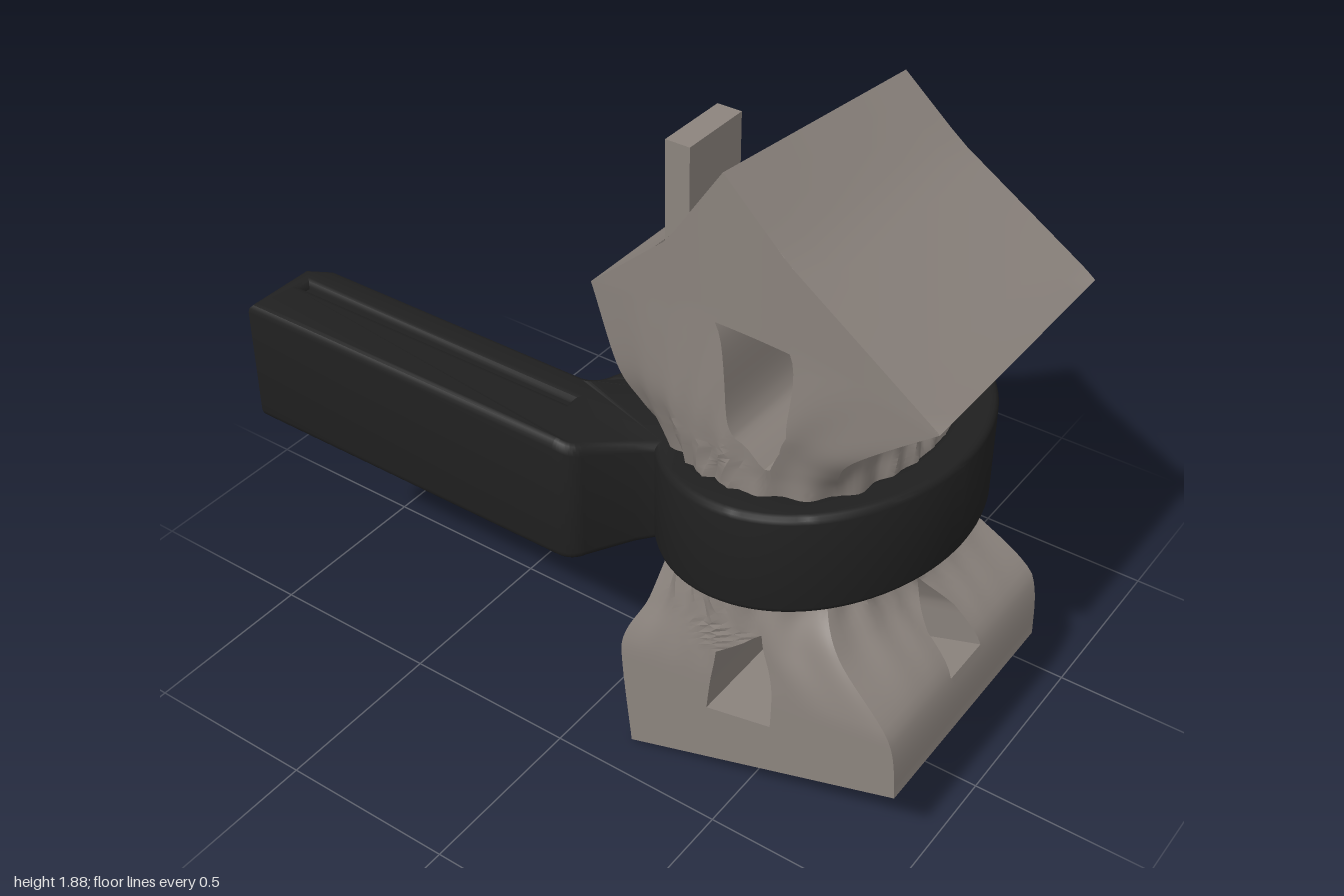
import * as THREE from 'three';
import { toCreasedNormals } from 'three/addons/utils/BufferGeometryUtils.js';

const clamp = THREE.MathUtils.clamp, lerp = THREE.MathUtils.lerp;

// House levels, bottom to eaves: left x, y, right x, y, front z, back z, roundness
const LEVELS = [
  [0.16, 0.0, 0.96, 0.27, 0.39, -0.34, 0],
  [0.13, 0.33, 0.93, 0.45, 0.39, -0.36, 0],
  [0.16, 0.5, 0.79, 0.6, 0.39, -0.38, 0.35],
  [0.15, 0.66, 0.76, 0.71, 0.39, -0.39, 0.8],
  [0.15, 0.82, 0.77, 0.87, 0.38, -0.4, 1],
  [0.13, 0.97, 0.78, 1.02, 0.39, -0.4, 0.85],
  [0.11, 1.1, 0.77, 1.12, 0.395, -0.4, 0.5],
  [0.095, 1.22, 0.8, 1.22, 0.395, -0.4, 0.2],
  [0.06, 1.44, 0.99, 1.4, 0.39, -0.37, 0],
];
// Gable outline
const ROOF = [[0.06, 1.44], [0.28, 1.635], [0.43, 1.86], [0.6, 1.69], [0.99, 1.4]];
const RIDGE_U = (0.43 - 0.525) / 0.465;

// Window edges by level: t, first u, second u
const GABLE_KEYS = [[0, -0.25, 0.2], [0.625, -0.35, 0.125], [1.5, -0.21, 0.225], [2.125, 0.27, 0.28],
  [4, -0.1, 0.5], [5.875, 0.34, 0.38], [6.5, 0.1, 0.46], [7, 0, 0.46], [8, -0.25, 0.18], [9, RIDGE_U, 0.3]];
const sideKeys = (bottom, tip) => [[0, -0.2, 0.24], [bottom, -0.17, 0.24], [(bottom + tip) / 2, -0.14, 0.2],
  [tip, 0, 0.02], [4, -0.3, 0.3], [6, 0, 0.02], [6.5, -0.09, 0.13], [7.5, -0.13, 0.2], [8, -0.2, 0.25]];

const WALLS = [
  { at: u => [u, 1], keys: GABLE_KEYS, top: 9, flip: false, holes: [[0.625, 2.125], [5.875, 8]] },
  { at: u => [u, -1], keys: GABLE_KEYS, top: 9, flip: true, holes: [[0.625, 2.125], [5.875, 8]] },
  { at: u => [-1, u], keys: sideKeys(1, 2.75), top: 8, flip: false, holes: [[1, 2.75], [6, 7.5]] },
  { at: u => [1, u], keys: sideKeys(0.875, 2.125), top: 8, flip: true, holes: [[0.875, 2.125], [6, 7.5]] },
];

// Piecewise linear lookup in rows that start with the key
function lookup(rows, t) {
  let i = 0;
  while (i < rows.length - 2 && t > rows[i + 1][0]) i++;
  const f = clamp((t - rows[i][0]) / (rows[i + 1][0] - rows[i][0]), 0, 1);
  return rows[i].map((v, k) => lerp(v, rows[i + 1][k], f));
}

function level(t) {
  const i = Math.min(Math.floor(t), 7), f = t - i;
  const p = d => LEVELS[clamp(i + d, 0, 8)];
  return LEVELS[0].map((_, n) => {
    const [a, b, c, d] = [p(-1)[n], p(0)[n], p(1)[n], p(2)[n]];
    return b + 0.5 * f * (c - a + f * (2 * a - 5 * b + 4 * c - d + f * (3 * (b - c) + d - a)));
  });
}

// Roof point at u across and w from -1 (back) to 1 (front)
function roofPoint(u, w) {
  const x = 0.525 + 0.465 * u, y = lookup(ROOF, x)[1], back = (1 - w) / 2;
  const rise = (y - 1.42) / 0.44;
  return [x, y - 0.085 * back * Math.max(rise, 0), lerp(0.39 + 0.01 * rise, -0.37 - 0.01 * rise + 0.015 * u, back)];
}

// Wall point: square plan drawn into a pleated oval at the waist
function wallPoint(a, b, t) {
  if (t > 8) {
    const p = wallPoint(a, b, 8), q = roofPoint(a, b);
    return p.map((v, i) => lerp(v, q[i], t - 8));
  }
  const [lx, ly, rx, ry, zf, zb, kr] = level(t), k = clamp(kr, 0, 1);
  const th = Math.atan2(b, a), len = Math.hypot(a, b);
  const pleat = Math.sin(24 * th + 2.5 * Math.sin(3 * th) + 1.2 * t) + 0.5 * Math.sin(15 * th - t);
  const s = lerp(1, 1 / len, k) * (1 - 0.022 * Math.min(1, 1.5 * k) * (1 + pleat));
  const A = a * s, B = b * s, f = (A + 1) / 2;
  const gable = t > 7 ? 0.04 * (t - 7) * (1 - a * a) * b * b : 0;
  return [lerp(lx, rx, f), lerp(ly, ry, f) + gable, B > 0 ? B * zf : -B * zb + 0.015 * A * (t / 8) * -B];
}

function houseGeometry() {
  const pos = [];
  const quad = (p, q, r, s, flip) => pos.push(...(flip ? [p, r, q, p, s, r] : [p, q, r, p, r, s]).flat());
  const N = 14;
  WALLS.forEach((wall, side) => {
    const point = (i, t) => {
      const [, a, b] = lookup(wall.keys, t), c = Math.floor(Math.min(i, 3 * N - 1) / N), f = i / N - c;
      const stops = [-1, a, b, 1];
      return wallPoint(...wall.at(lerp(stops[c], stops[c + 1], f)), t);
    };
    // Wall skin, leaving the windows open
    for (let j = 0; j < wall.top * 8; j++) for (let i = 0; i < 3 * N; i++) {
      const t = j / 8, t2 = t + 1 / 8;
      if (i >= N && i < 2 * N && wall.holes.some(h => t >= h[0] && t < h[1])) continue;
      quad(point(i, t), point(i + 1, t), point(i + 1, t2), point(i, t2), wall.flip);
    }
    // Window reveals running in to the crossing
    wall.holes.forEach(([t0, t1], n) => {
      const [f0, f1] = n ? [1.09, 1.45] : [0.31, 0.57];
      const y0 = point(N, t0)[1], y1 = point(N, t1)[1];
      const inner = p => side < 2 ? [p[0], p[1], side ? -0.09 : 0.09]
        : [side === 2 ? 0.46 : 0.59, lerp(f0, f1, clamp((p[1] - y0) / (y1 - y0), 0, 1)), p[2]];
      const strip = (p, q) => quad(p, q, inner(q), inner(p), wall.flip);
      for (let t = t0; t < t1; t += 1 / 8) {
        strip(point(N, t + 1 / 8), point(N, t));
        strip(point(2 * N, t), point(2 * N, t + 1 / 8));
      }
      for (let i = N; i < 2 * N; i++) {
        strip(point(i, t0), point(i + 1, t0));
        strip(point(i + 1, t1), point(i, t1));
      }
    });
  });
  // Base
  quad(...[[-1, -1], [1, -1], [1, 1], [-1, 1]].map(c => wallPoint(...c, 0)));
  // Roof slopes
  const us = [];
  for (let i = 0; i <= 8; i++) us.push(lerp(-1, RIDGE_U, i / 8));
  for (let i = 1; i <= 12; i++) us.push(lerp(RIDGE_U, 1, i / 12));
  for (let i = 0; i < us.length - 1; i++) for (let j = 0; j < 8; j++) {
    const w = 1 - j / 4, w2 = w - 0.25;
    quad(roofPoint(us[i], w), roofPoint(us[i + 1], w), roofPoint(us[i + 1], w2), roofPoint(us[i], w2));
  }
  const g = new THREE.BufferGeometry();
  g.setAttribute('position', new THREE.Float32BufferAttribute(pos, 3));
  return toCreasedNormals(g, 0.6);
}

// Clamp: plan outline extruded upward, then tilted and made taller along the handle
function clampGeometry() {
  const s = new THREE.Shape();
  s.moveTo(-1, 0.51);
  s.lineTo(0.02, 0.51);
  s.quadraticCurveTo(0.07, 0.51, 0.09, 0.47);
  s.lineTo(0.165, 0.37);
  s.absellipse(0.47, -0.03, 0.4, 0.495, 2.31, -2.85, true);
  s.lineTo(-0.03, 0.2);
  s.quadraticCurveTo(-0.045, 0.25, -0.09, 0.25);
  s.lineTo(-0.93, 0.25);
  s.lineTo(-1, 0.29);
  s.closePath();
  const bore = new THREE.Path();
  bore.absellipse(0.47, -0.03, 0.3, 0.385, 0, Math.PI * 2, false);
  const slot = new THREE.Path();
  slot.moveTo(-0.94, 0.34).lineTo(-0.05, 0.34).lineTo(-0.05, 0.36).lineTo(-0.94, 0.36).closePath();
  s.holes.push(bore, slot);
  const g = new THREE.ExtrudeGeometry(s, { depth: 0.26, curveSegments: 40, bevelThickness: 0.02, bevelSize: 0.02, bevelOffset: -0.02, bevelSegments: 3 });
  g.translate(0, 0, -0.13).rotateX(Math.PI / 2);
  const p = g.attributes.position;
  for (let i = 0; i < p.count; i++) {
    const x = p.getX(i), z = p.getZ(i), f = THREE.MathUtils.smoothstep(x, 0.0, 0.22);
    const mid = lerp(0.845, 0.85 + 0.08 * (x - 0.47) + 0.02 * z, f);
    p.setY(i, mid + p.getY(i) * lerp(0.185, 0.148, f) / 0.15);
  }
  return toCreasedNormals(g, 0.6);
}

export function createModel() {
  const stone = new THREE.MeshStandardMaterial({ color: 0x8c847e, side: THREE.DoubleSide });
  stone.name = 'warm grey stone';
  const rubber = new THREE.MeshStandardMaterial({ color: 0x202020 });
  rubber.name = 'black rubber';
  const model = new THREE.Group();
  model.name = 'squeezedHouse';
  const add = (name, geo, mat, x = 0, y = 0, z = 0) => {
    const m = new THREE.Mesh(geo, mat);
    m.name = name;
    m.position.set(x, y, z);
    model.add(m);
    return m;
  };
  add('house', houseGeometry(), stone);
  add('chimney', new THREE.BoxGeometry(0.065, 0.33, 0.2), stone, 0.305, 1.72, 0.29);
  // Floors and ceilings where the window openings cross
  [0.3, 0.585, 1.075, 1.47].forEach(y =>
    add('crossingPlate', new THREE.BoxGeometry(0.24, 0.02, 0.2), stone, 0.52, y, 0));
  add('clampBand', clampGeometry(), rubber);
  // Floor of the slot along the handle
  add('handleCore', new THREE.BoxGeometry(0.93, 0.33, 0.08), rubber, -0.495, 0.845, 0.35);
  return model;
}
